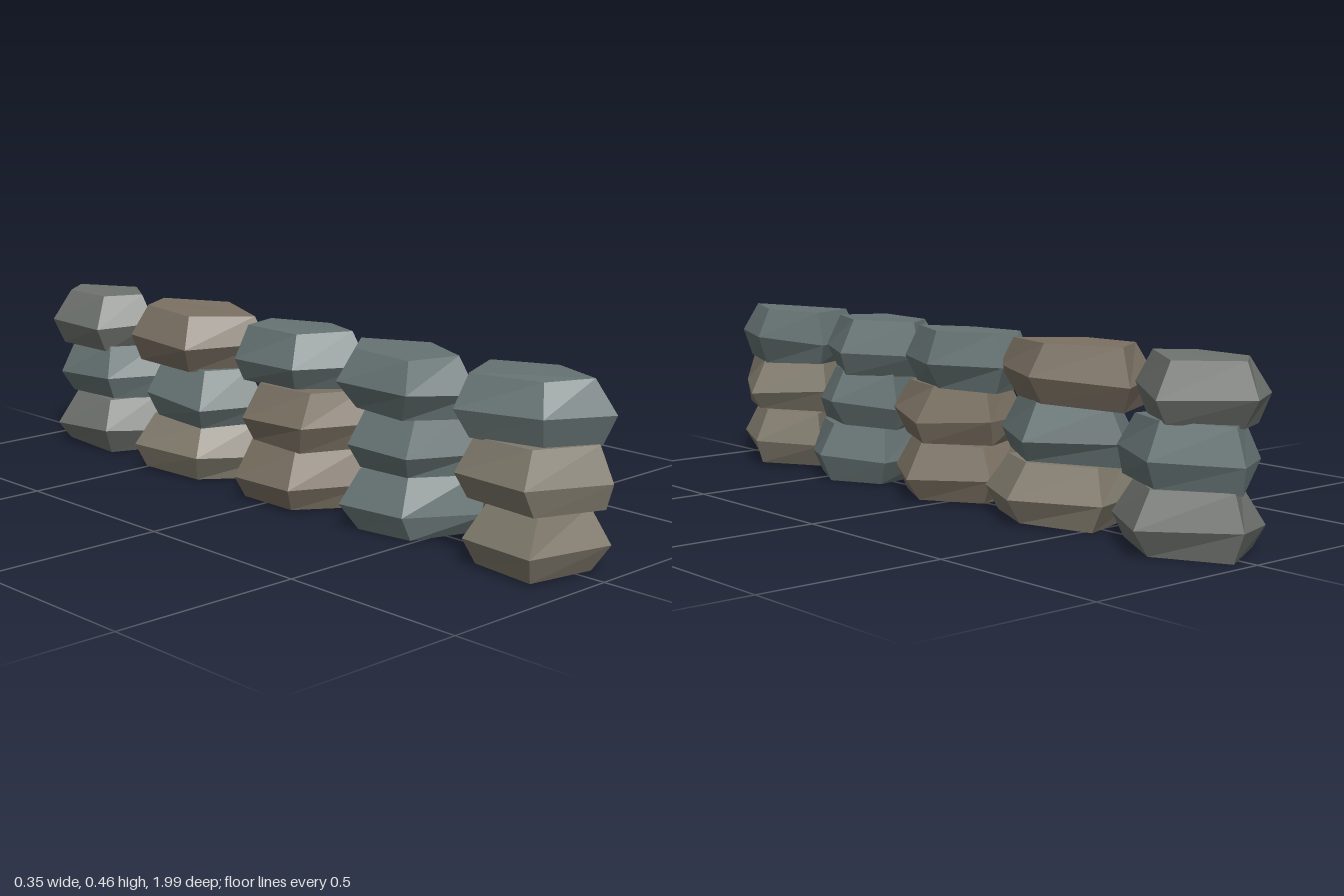
import * as THREE from 'three';

const BLUE = 0x667373, BROWN = 0x7b7163, SAND = 0x807a6c, GREY = 0x6f736f;

// Five-sided stone outline, counter-clockwise from above: [across, along]
const OUTLINE = [[0.22, 1], [1, 0], [0.22, -1], [-0.92, -0.57], [-0.95, 0.57]];

// Each course: bottom, widest and top heights, the [across, along] scale of the
// end rings, then its stones as
// [front z, back z, left x, right x, end shift, side shift, side lean, colour]
const COURSES = [
  { name: 'bottomCourse', y: [0.006, 0.068, 0.158], base: [0.8, 0.82], cap: [0.67, 0.77], stones: [
    [0.98, 0.59, -0.175, 0.15, 0.025, 0.03, -0.01, SAND],
    [0.60, 0.265, -0.15, 0.15, 0.035, -0.04, 0.015, BLUE],
    [0.24, -0.15, -0.18, 0.16, 0.02, -0.02, -0.005, BROWN],
    [-0.14, -0.565, -0.17, 0.16, 0.025, -0.025, 0.012, SAND],
    [-0.58, -0.995, -0.15, 0.178, -0.01, 0, 0, GREY],
  ] },
  { name: 'middleCourse', y: [0.161, 0.22, 0.308], base: [0.8, 0.86], cap: [0.68, 0.78], stones: [
    [0.995, 0.59, -0.165, 0.145, 0.005, -0.01, -0.01, SAND],
    [0.59, 0.235, -0.15, 0.14, 0.02, 0, 0, BLUE],
    [0.24, -0.16, -0.155, 0.14, 0.03, 0, 0, BROWN],
    [-0.15, -0.595, -0.16, 0.15, -0.02, 0.02, -0.01, BLUE],
    [-0.59, -0.99, -0.14, 0.145, 0, 0.01, 0, BLUE],
  ] },
  { name: 'topCourse', y: [0.303, 0.37, 0.454], base: [0.77, 0.82], cap: [0.7, 0.78], stones: [
    [0.985, 0.575, -0.135, 0.13, 0.02, 0, 0.022, BLUE],
    [0.595, 0.175, -0.155, 0.13, 0, 0.01, 0, BLUE],
    [0.20, -0.195, -0.12, 0.12, 0.02, -0.03, 0, BLUE],
    [-0.17, -0.63, -0.155, 0.137, 0.01, -0.02, -0.01, BROWN],
    [-0.615, -0.995, -0.15, 0.13, -0.02, 0, 0, GREY],
  ] },
];

function seeded(seed) {
  let s = seed;
  return () => {
    s = (s * 16807) % 2147483647;
    return s / 2147483647 - 0.5;
  };
}

// Three stacked five-sided rings, closed by a cap at each end
function stoneGeometry([z1, z0, x0, x1, endShift, sideShift, lean], { y, base, cap }, rand) {
  const cx = (x0 + x1) / 2, cz = (z0 + z1) / 2;
  const hx = (x1 - x0) / 2, hz = (z1 - z0) / 2;
  const scales = [base, [1, 1], cap];
  const positions = [], index = [], n = OUTLINE.length;
  y.forEach((height, ring) => {
    const [kx, kz] = scales[ring], rough = ring === 1 ? 0 : 0.02;
    OUTLINE.forEach(([u, v], i) => {
      const shiftX = i < 3 ? (i === 1 ? 0 : endShift) : (i === 4 ? lean : -lean);
      const shiftZ = i > 2 ? sideShift : i === 1 ? -sideShift / 2 : 0;
      positions.push(
        cx + (u * hx + shiftX) * kx + rand() * rough,
        height + rand() * (ring === 1 ? 0.018 : 0.01),
        cz + (v * hz + shiftZ) * kz + rand() * rough * 1.5,
      );
    });
  });
  for (let ring = 0; ring < 2; ring++) {
    for (let i = 0; i < n; i++) {
      const a = ring * n + i, b = ring * n + (i + 1) % n;
      index.push(a, b, b + n, a, b + n, a + n);
    }
  }
  for (let i = 1; i < n - 1; i++) {
    index.push(0, i + 1, i);
    index.push(2 * n, 2 * n + i, 2 * n + i + 1);
  }
  const geometry = new THREE.BufferGeometry();
  geometry.setAttribute('position', new THREE.Float32BufferAttribute(positions, 3));
  geometry.setIndex(index);
  const faceted = geometry.toNonIndexed();
  faceted.computeVertexNormals();
  return faceted;
}

export function createModel() {
  const model = new THREE.Group();
  model.name = 'stoneWall';
  const rand = seeded(4127);
  const materials = {};
  for (const color of [BLUE, BROWN, SAND, GREY]) {
    materials[color] = new THREE.MeshStandardMaterial({ color, flatShading: true });
  }
  for (const course of COURSES) {
    const row = new THREE.Group();
    row.name = course.name;
    course.stones.forEach((stone, i) => {
      const mesh = new THREE.Mesh(stoneGeometry(stone, course, rand), materials[stone[7]]);
      mesh.name = `stone${i + 1}`;
      row.add(mesh);
    });
    model.add(row);
  }
  return model;
}
